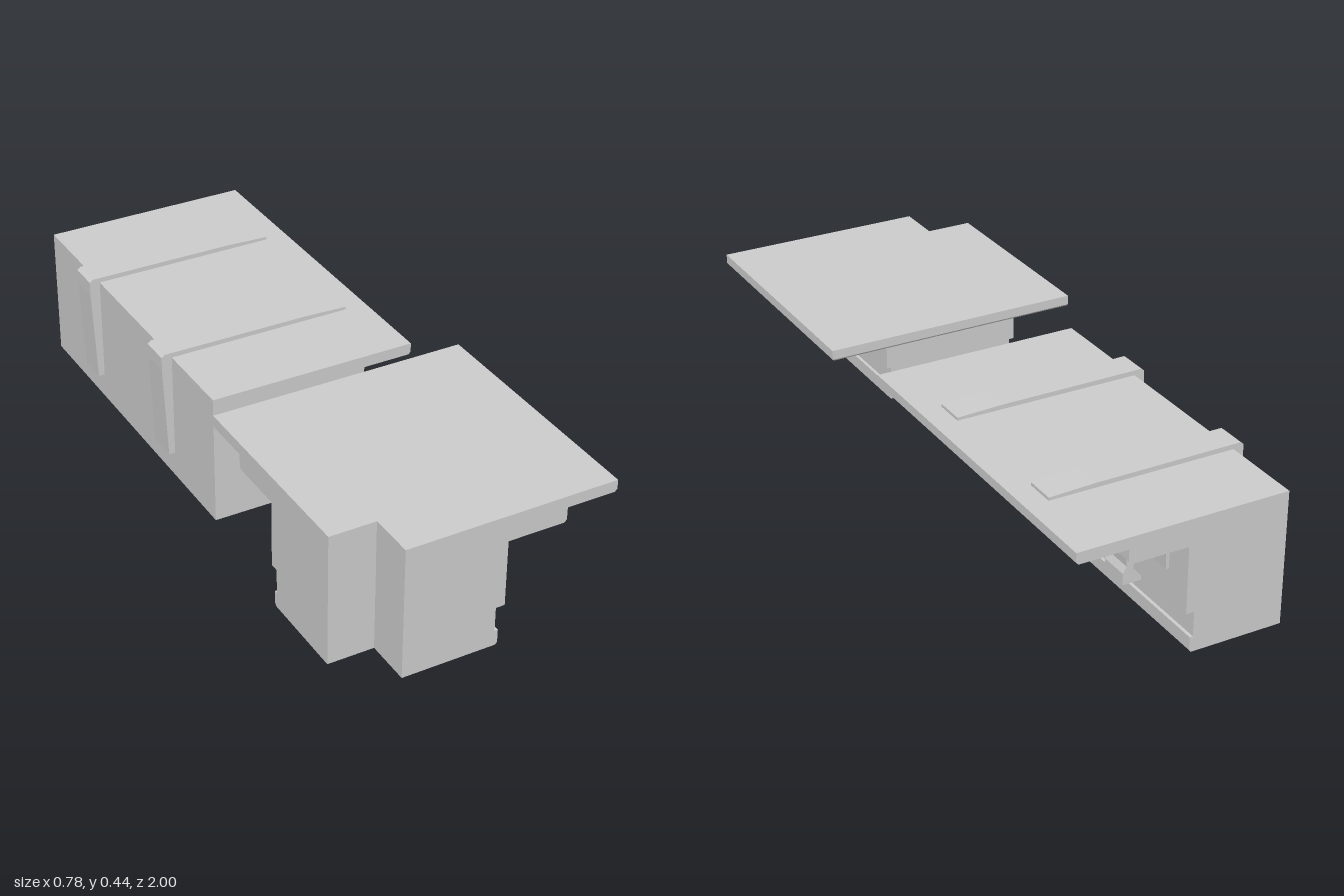
import * as THREE from 'three';

const material = new THREE.MeshStandardMaterial({ color: 0xcccccc });

function add(parent, name, geometry) {
  const mesh = new THREE.Mesh(geometry, material);
  mesh.name = name;
  parent.add(mesh);
  return mesh;
}

// Stack of outlines: footprint(edge) gives [x, z] corners, levels are [edge, y] from bottom to top
function loft(footprint, levels) {
  const rings = levels.map(([e, y]) => footprint(e).map(([x, z]) => [x, y, z]));
  const n = rings[0].length;
  const out = [];
  for (let i = 0; i < rings.length - 1; i++) {
    for (let j = 0; j < n; j++) {
      const k = (j + 1) % n;
      const a = rings[i][j], b = rings[i][k], c = rings[i + 1][k], d = rings[i + 1][j];
      out.push(...a, ...b, ...c, ...a, ...c, ...d);
    }
  }
  const cap = (ring, up) => {
    const pts = ring.map(p => new THREE.Vector2(p[0], p[2]));
    for (const [a, b, c] of THREE.ShapeUtils.triangulateShape(pts, [])) {
      const [p, q, r] = [pts[a], pts[b], pts[c]];
      const facesUp = (q.x - p.x) * (r.y - p.y) - (q.y - p.y) * (r.x - p.x) < 0;
      const order = facesUp === up ? [a, b, c] : [a, c, b];
      order.forEach(v => out.push(...ring[v]));
    }
  };
  cap(rings[0], false);
  cap(rings[rings.length - 1], true);
  const g = new THREE.BufferGeometry();
  g.setAttribute('position', new THREE.Float32BufferAttribute(out, 3));
  g.computeVertexNormals();
  return g;
}

// Profile in x/y, extruded along z and centred on z = 0
function slice(shape, width) {
  return new THREE.ExtrudeGeometry(shape, { depth: width, bevelEnabled: false, curveSegments: 10 })
    .translate(0, 0, -width / 2);
}

// Footprints run counter-clockwise seen from above
const straight = e => [[-0.328, -1], [-0.328, 0.1], [e, 0.1], [e, -1]];
const corner = e => [[-0.39, 0.615 - e], [-0.39, 0.86], [-0.25, 0.86], [-0.25, 1], [e, 1], [e, 0.615 - e]];

// Mouldings shared by both pieces, moved by dx, dy
function mouldings(parent, footprint, dx, dy) {
  const part = (name, levels) =>
    add(parent, name, loft(footprint, levels.map(([e, y]) => [e + dx, y + dy])));
  part('base', [[0.034, 0.04], [0.04, 0.047], [0.04, 0.087]]);
  part('recess', [[0.03, 0.085], [0.03, 0.367]]);
  part('lowerCornice', [[0.228, 0.365], [0.235, 0.373], [0.235, 0.412]]);
  part('topSlab', [[0.382, 0.41], [0.389, 0.417], [0.389, 0.445]]);
}

// Small hooked bracket, wall at x = 0, hanging from y = top
function hook(top, width) {
  const s = new THREE.Shape();
  s.moveTo(-0.01, top);
  s.lineTo(-0.01, top - 0.112);
  s.lineTo(0.009, top - 0.112);
  s.lineTo(0.011, top - 0.07);
  s.quadraticCurveTo(0.015, top - 0.04, 0.045, top - 0.038);
  s.lineTo(0.09, top - 0.038);
  s.lineTo(0.1, top - 0.03);
  s.lineTo(0.1, top);
  return slice(s, width);
}

// Strap over the top and down the back, with a curved brace below the cornice
function strap() {
  const s = new THREE.Shape();
  s.moveTo(-0.32, 0.08);
  s.lineTo(-0.347, 0.08);
  s.lineTo(-0.36, 0.37);
  s.lineTo(-0.36, 0.412);
  s.lineTo(-0.35, 0.42);
  s.lineTo(0.1, 0.419);
  s.lineTo(0.24, 0.414);
  s.lineTo(0.24, 0.35);
  s.lineTo(0.155, 0.34);
  s.quadraticCurveTo(0.105, 0.332, 0.075, 0.305);
  s.quadraticCurveTo(0.005, 0.245, -0.003, 0.135);
  s.lineTo(0.008, 0.115);
  s.lineTo(0.008, 0.08);
  s.lineTo(-0.06, 0.08);
  s.lineTo(-0.06, 0.3);
  s.lineTo(-0.32, 0.3);
  return slice(s, 0.092);
}

// Wall with a bell-shaped arch in its lower edge, drawn as (-z, y)
function archedWall() {
  const s = new THREE.Shape();
  s.moveTo(-0.1, 0.122);
  s.lineTo(0.32, 0.122);
  s.bezierCurveTo(0.37, 0.127, 0.39, 0.162, 0.45, 0.162);
  s.bezierCurveTo(0.51, 0.162, 0.53, 0.127, 0.58, 0.122);
  s.lineTo(1, 0.122);
  s.lineTo(1, 0.328);
  s.lineTo(-0.1, 0.328);
  return slice(s, 0.303).rotateY(Math.PI / 2).translate(-0.1765, 0, 0);
}

export function createModel() {
  const model = new THREE.Group();

  // Straight cornice piece
  const run = new THREE.Group();
  run.name = 'straightCornice';
  mouldings(run, straight, -0.08, -0.04);
  add(run, 'archedWall', archedWall());
  for (const z of [-0.7, -0.205]) add(run, 'strap', strap()).position.z = z;
  for (const z of [-0.015, -0.447, -0.88]) {
    add(run, 'hookBracket', hook(0.326, 0.066)).position.set(-0.025, 0, z);
  }
  model.add(run);

  // Outside corner piece
  const end = new THREE.Group();
  end.name = 'cornerCornice';
  mouldings(end, corner, 0, 0);
  add(end, 'wall', loft(corner, [[0.057, 0.162], [0.057, 0.366]]));
  add(end, 'hookBracket', hook(0.365, 0.05)).position.set(0.057, 0, 0.78);
  const side = add(end, 'hookBracket', hook(0.365, 0.05));
  side.rotation.y = Math.PI / 2;
  side.position.set(-0.165, 0, 0.558);
  model.add(end);

  return model;
}
